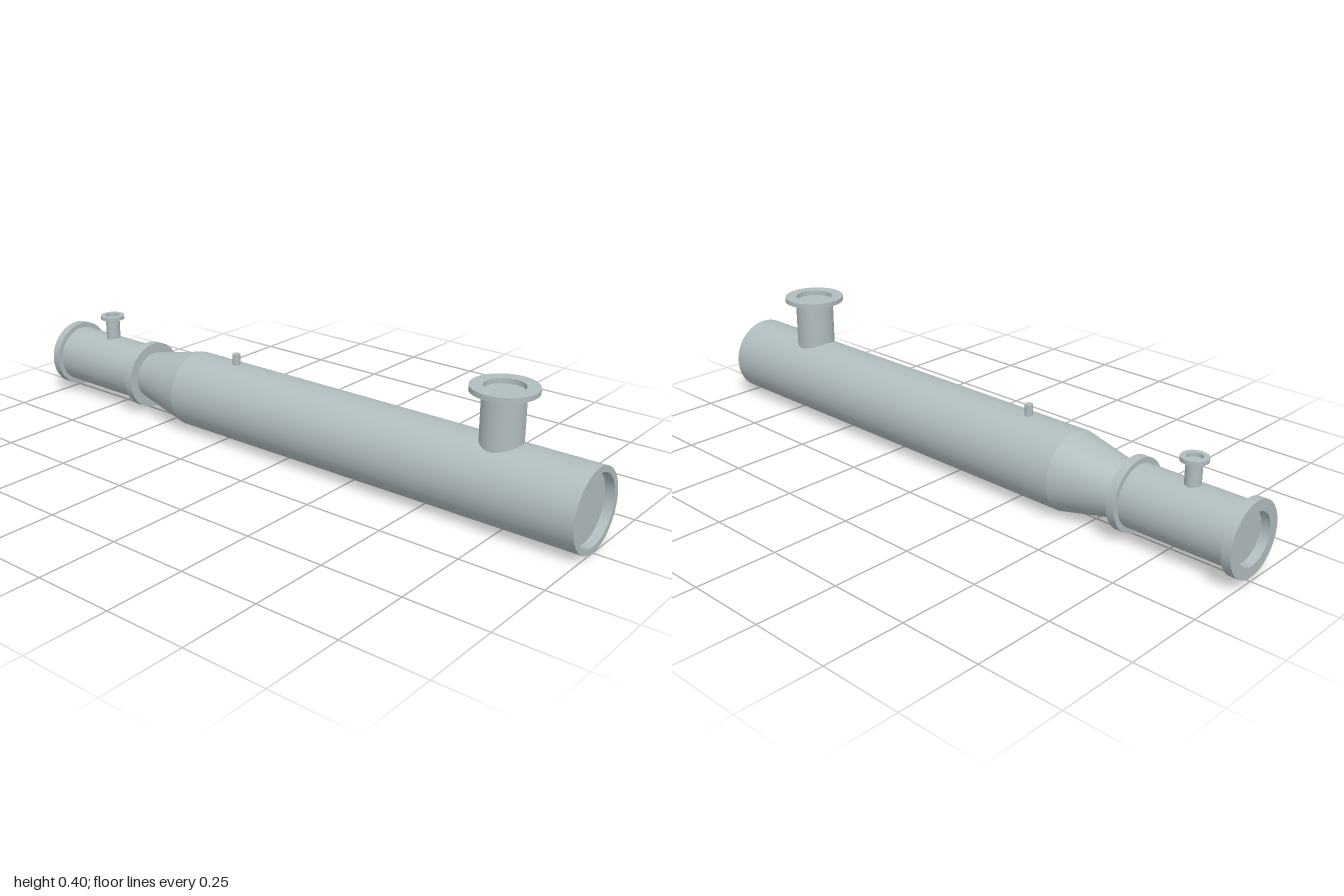
import * as THREE from 'three';
import { mergeGeometries } from 'three/addons/utils/BufferGeometryUtils.js';

const AXIS_Y = 0.122;

// Revolves an outline of [radius, height] points, listed bottom to top along
// the outside; each straight run is lathed alone so corners stay sharp.
function turned(points, segments = 64) {
  const runs = [];
  for (let i = 0; i < points.length - 1; i++) {
    const pair = [points[i], points[i + 1]].map(([r, h]) => new THREE.Vector2(r, h));
    runs.push(new THREE.LatheGeometry(pair, segments));
  }
  return mergeGeometries(runs);
}

export function createModel() {
  const model = new THREE.Group();
  model.name = 'pipeHousing';
  const steel = new THREE.MeshStandardMaterial({ color: 0xb0bcbe });
  steel.name = 'paleSteel';

  function add(parent, name, points) {
    const mesh = new THREE.Mesh(turned(points), steel);
    mesh.name = name;
    parent.add(mesh);
    return mesh;
  }

  // Horizontal parts: the turning axis is laid along z
  const barrel = new THREE.Group();
  barrel.name = 'barrel';
  barrel.position.y = AXIS_Y;
  barrel.rotation.x = Math.PI / 2;
  model.add(barrel);

  // Main tube with a shallow recess in its open front end
  add(barrel, 'mainTube', [[0.121, -0.412], [0.121, 1], [0.103, 1], [0.103, 0.972], [0, 0.972]]);
  add(barrel, 'reducerCone', [[0.077, -0.613], [0.121, -0.412]]);
  add(barrel, 'middleFlange', [[0.077, -0.639], [0.109, -0.639], [0.109, -0.612], [0.07, -0.612]]);
  add(barrel, 'rearTube', [[0.093, -0.973], [0.093, -0.638]]);
  // End flange with a blind bore facing the back
  add(barrel, 'rearFlange', [
    [0, -0.972], [0.076, -0.972], [0.076, -1], [0.109, -1], [0.109, -0.972], [0.09, -0.972],
  ]);

  // Vertical nozzle: pipe topped by a flange with a blind bore
  function addNozzle(name, z, base, under, top, pipe, rim, bore) {
    const nozzle = new THREE.Group();
    nozzle.name = name;
    nozzle.position.z = z;
    model.add(nozzle);
    add(nozzle, name + 'Pipe', [[pipe, base], [pipe, under]]);
    add(nozzle, name + 'Flange', [
      [pipe, under], [rim, under], [rim, top], [bore, top], [bore, under], [0, under],
    ]);
  }
  addNozzle('largeNozzle', 0.713, 0.18, 0.381, 0.396, 0.061, 0.095, 0.058);
  addNozzle('smallNozzle', -0.807, 0.19, 0.281, 0.293, 0.023, 0.039, 0.023);

  // Plain stub on top of the main tube
  const stub = add(model, 'drainStub', [[0.0125, 0.22], [0.0125, 0.277], [0, 0.277]]);
  stub.position.z = -0.24;

  return model;
}
